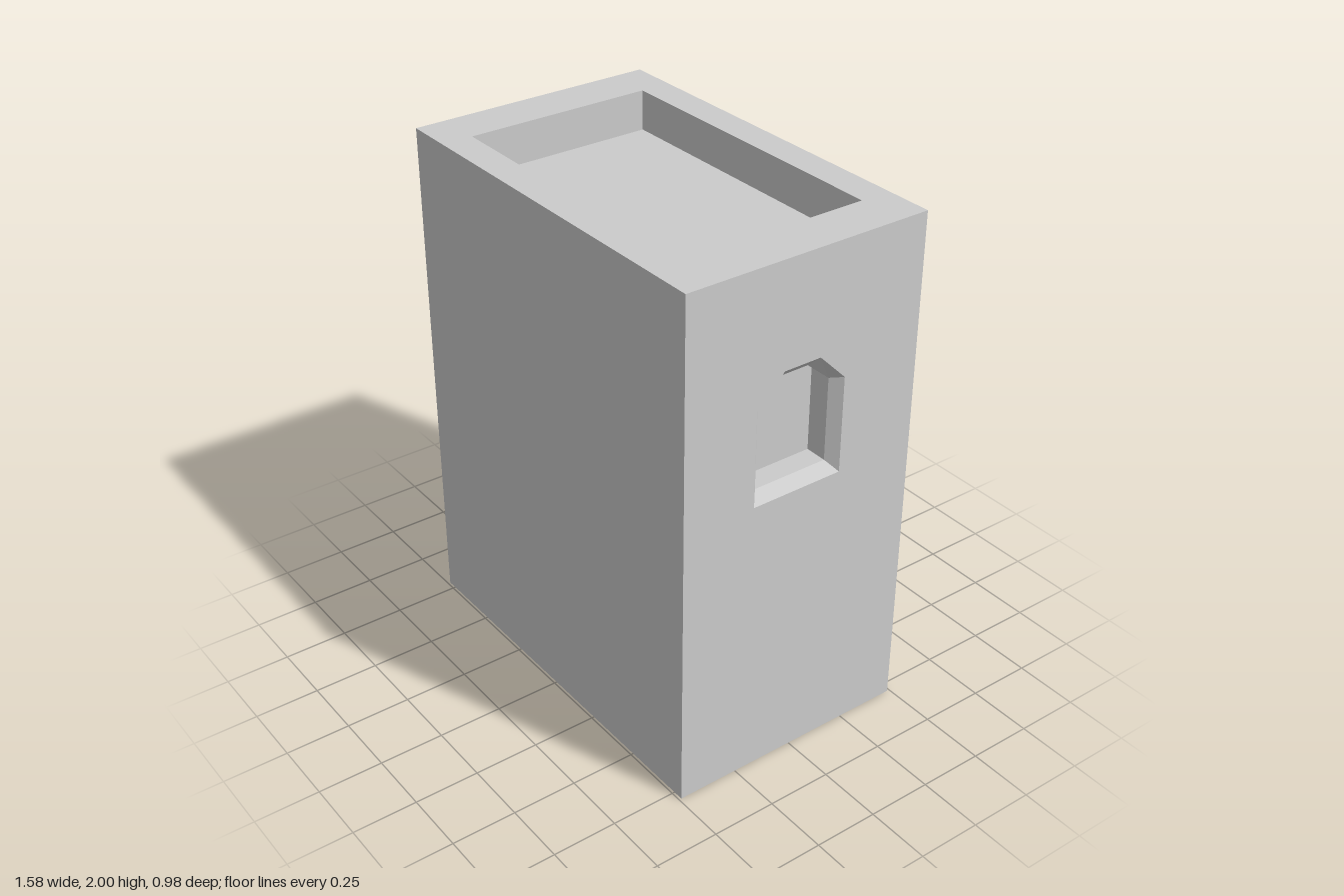
import * as THREE from 'three';

const W = 0.79, H = 2, D = 0.49; // half width, height, half depth
const material = new THREE.MeshStandardMaterial({ color: 0xcccccc, flatShading: true, side: THREE.DoubleSide });

const rect = (x0, y0, x1, y1) => [[x0, y0], [x1, y0], [x1, y1], [x0, y1]];
const vectors = (pts) => pts.map(([x, y]) => new THREE.Vector2(x, y));

// Flat panel in local XY, facing +z, with an optional opening
function panel(name, outline, hole, z = 0) {
  const shape = new THREE.Shape(vectors(outline));
  if (hole) shape.holes.push(new THREE.Path(vectors(hole)));
  const mesh = new THREE.Mesh(new THREE.ShapeGeometry(shape).translate(0, 0, z), material);
  mesh.name = name;
  return mesh;
}

// Inward-facing sides joining counter-clockwise rings, each { pts, z }, front to back
function sides(name, rings) {
  const pos = [];
  for (let r = 0; r < rings.length - 1; r++) {
    const f = rings[r], b = rings[r + 1], n = f.pts.length;
    for (let i = 0; i < n; i++) {
      const j = (i + 1) % n;
      pos.push(...f.pts[i], f.z, ...f.pts[j], f.z, ...b.pts[i], b.z);
      pos.push(...f.pts[j], f.z, ...b.pts[j], b.z, ...b.pts[i], b.z);
    }
  }
  const geometry = new THREE.BufferGeometry();
  geometry.setAttribute('position', new THREE.Float32BufferAttribute(pos, 3));
  geometry.computeVertexNormals();
  const mesh = new THREE.Mesh(geometry, material);
  mesh.name = name;
  return mesh;
}

function group(name, ...parts) {
  const g = new THREE.Group();
  g.name = name;
  g.add(...parts);
  return g;
}

export function createModel() {
  // Plain walls; the underside stays open
  const frontWall = panel('frontWall', rect(-W, 0, W, H));
  frontWall.position.z = D;
  const backWall = panel('backWall', rect(-W, 0, W, H));
  backWall.rotation.y = Math.PI;
  backWall.position.z = -D;
  const rightWall = panel('rightWall', rect(-D, 0, D, H));
  rightWall.rotation.y = -Math.PI / 2;
  rightWall.position.x = -W;

  // Left wall with a bevelled window niche (local x runs towards the back)
  const outer = [[-0.2, 1.12], [0.17, 1.12], [0.17, 1.49], [0.06, 1.6], [-0.09, 1.6], [-0.2, 1.49]];
  const inner = [[-0.165, 1.16], [0.135, 1.16], [0.135, 1.48], [0.043, 1.56], [-0.075, 1.56], [-0.165, 1.48]];
  const bevel = -0.04, depth = -0.125;
  const windowWall = group('leftWall',
    panel('leftWallFace', rect(-D, 0, D, H), outer),
    sides('windowReveal', [{ pts: outer, z: 0 }, { pts: inner, z: bevel }, { pts: inner, z: depth }]),
    panel('windowPane', inner, null, depth));
  windowWall.rotation.y = Math.PI / 2;
  windowWall.position.x = W;

  // Flat roof sunk behind a broad parapet
  const roofEdge = rect(-0.607, -0.37, 0.607, 0.37);
  const sink = -0.155;
  const roof = group('roof',
    panel('parapetTop', rect(-W, -D, W, D), roofEdge),
    sides('parapetInside', [{ pts: roofEdge, z: 0 }, { pts: roofEdge, z: sink }]),
    panel('roofFloor', roofEdge, null, sink));
  roof.rotation.x = -Math.PI / 2;
  roof.position.y = H;

  return group('tower', frontWall, backWall, rightWall, windowWall, roof);
}
